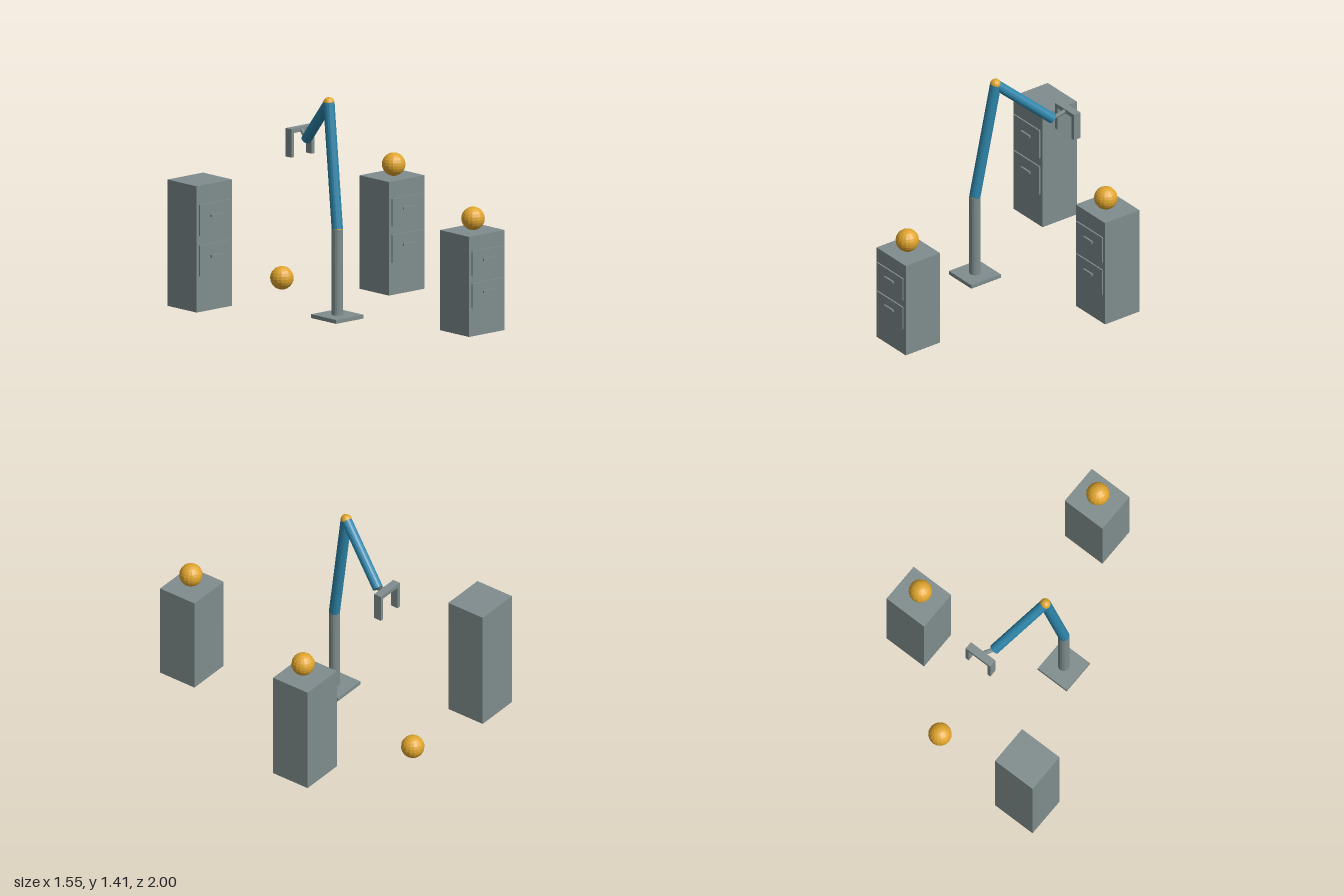
import * as THREE from 'three';

export function createModel() {
  const root = new THREE.Group();
  root.name = 'robotArmWorkcell';

  const material = (name, color, flatShading = true) => {
    const m = new THREE.MeshStandardMaterial({ color, flatShading });
    m.name = name;
    return m;
  };
  const gray = material('steel gray', 0x7f8c8d);
  const blue = material('arm blue', 0x2e86ab);
  const gold = material('ball gold', 0xe0a52e);

  const add = (parent, name, geometry, mat, x, y, z) => {
    const mesh = new THREE.Mesh(geometry, mat);
    mesh.name = name;
    mesh.position.set(x, y, z);
    parent.add(mesh);
    return mesh;
  };
  const box = (parent, name, w, h, d, x, y, z) =>
    add(parent, name, new THREE.BoxGeometry(w, h, d), gray, x, y, z);
  const ball = (parent, name, r, x, y, z) =>
    add(parent, name, new THREE.SphereGeometry(r, 16, 12), gold, x, y, z);

  // Cylinder running between two points
  const rod = (parent, name, a, b, r, mat) => {
    const dir = b.clone().sub(a);
    const mid = a.clone().add(b).multiplyScalar(0.5);
    const mesh = add(parent, name, new THREE.CylinderGeometry(r, r, dir.length(), 16), mat, mid.x, mid.y, mid.z);
    mesh.quaternion.setFromUnitVectors(new THREE.Vector3(0, 1, 0), dir.normalize());
  };

  // Two-drawer cabinets; drawer spacing scales with height
  const W = 0.305, D = 0.275;
  const cabinet = (x, z, h) => {
    const g = new THREE.Group();
    g.name = 'cabinet';
    g.position.set(x, 0, z);
    root.add(g);
    box(g, 'cabinetBody', W, h, D, 0, h / 2, 0);
    for (const level of [0.408, 0.728]) {
      box(g, 'drawerFront', 0.27, h * 0.245, 0.01, 0, h * level, D / 2 + 0.008);
      box(g, 'drawerHandle', 0.09, 0.015, 0.012, 0, h * (level + 0.023), D / 2 + 0.019);
    }
  };
  cabinet(-0.622, -0.8625, 0.82);
  cabinet(0.167, 0.835, 0.65);
  cabinet(0.618, -0.412, 0.737);

  // Balls on two cabinets and on the floor
  ball(root, 'cabinetBall', 0.075, 0.167, 0.727, 0.843);
  ball(root, 'cabinetBall', 0.075, 0.618, 0.812, -0.397);
  ball(root, 'floorBall', 0.075, 0.085, 0.077, -0.865);

  // Arm: base, post, two tilted links and their joints
  const arm = new THREE.Group();
  arm.name = 'robotArm';
  root.add(arm);
  const foot = new THREE.Vector3(-0.229, 0.02, 0);
  const shoulder = new THREE.Vector3(-0.229, 0.58, 0);
  const elbow = new THREE.Vector3(-0.182, 1.372, -0.13);
  const wrist = new THREE.Vector3(-0.051, 1.062, -0.483);
  const palm = new THREE.Vector3(-0.018, 1.107, -0.57);
  box(arm, 'basePlate', 0.235, 0.025, 0.235, -0.229, 0.0125, 0);
  rod(arm, 'post', foot, shoulder, 0.036, gray);
  ball(arm, 'shoulderJoint', 0.036, ...shoulder.toArray());
  rod(arm, 'upperArm', shoulder, elbow, 0.036, blue);
  ball(arm, 'elbowJoint', 0.036, ...elbow.toArray());
  rod(arm, 'forearm', elbow, wrist, 0.034, blue);
  rod(arm, 'wristRod', wrist, palm, 0.014, gray);

  // Gripper with two hanging fingers
  const gripper = new THREE.Group();
  gripper.name = 'gripper';
  gripper.position.set(-0.018, 0, -0.581);
  arm.add(gripper);
  box(gripper, 'palmBar', 0.199, 0.027, 0.053, 0, 1.107, 0);
  for (const side of [-1, 1]) {
    box(gripper, 'finger', 0.024, 0.158, 0.053, side * 0.0875, 1.0155, 0);
  }

  return root;
}
